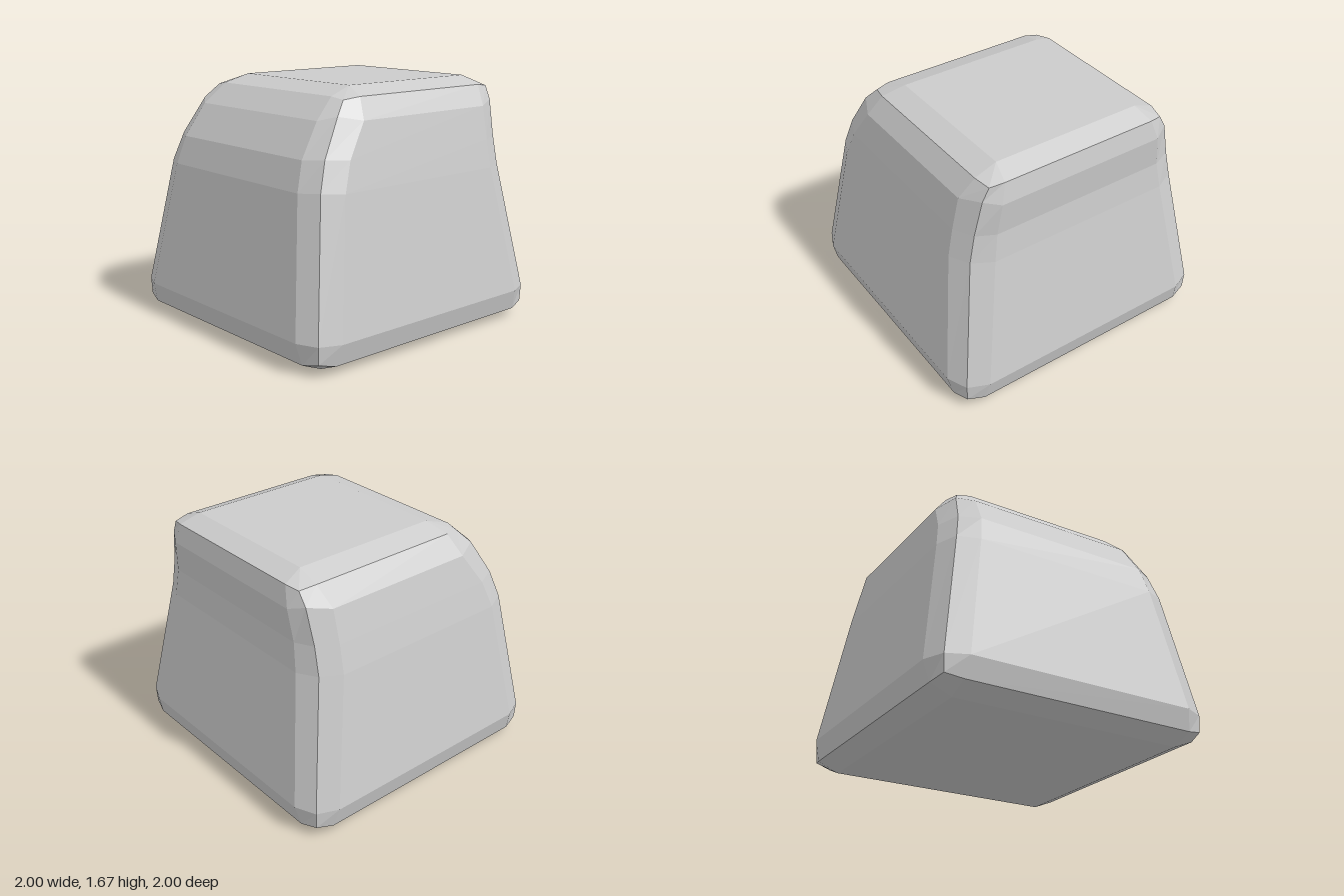
import * as THREE from 'three';

// Cross-sections from bottom to top. y: flat sides, yc: corner ridge,
// x: [side, corner ridge, end of front/back face],
// f / b: z of [front or back face, corner ridge, end of side face], dx: sideways drift
const SECTIONS = [
  { y: 0, yc: 0, x: [0.82, 0.82, 0.82], f: [0.82, 0.82, 0.82], b: [-0.82, -0.82, -0.82], dx: 0 },
  { y: 0.06, yc: 0.085, x: [0.965, 0.935, 0.82], f: [0.965, 0.935, 0.82], b: [-0.965, -0.935, -0.82], dx: 0 },
  { y: 0.2, yc: 0.2, x: [1, 0.94, 0.8], f: [1, 0.94, 0.8], b: [-1, -0.94, -0.8], dx: 0 },
  { y: 1.07, yc: 1.08, x: [0.865, 0.8, 0.66], f: [0.862, 0.8, 0.66], b: [-0.86, -0.795, -0.655], dx: 0 },
  { y: 1.26, yc: 1.27, x: [0.825, 0.76, 0.63], f: [0.805, 0.735, 0.59], b: [-0.843, -0.79, -0.65], dx: 0.003 },
  { y: 1.48, yc: 1.51, x: [0.775, 0.705, 0.6], f: [0.665, 0.59, 0.44], b: [-0.862, -0.805, -0.655], dx: 0.007 },
  { y: 1.615, yc: 1.6, x: [0.68, 0.655, 0.56], f: [0.52, 0.505, 0.39], b: [-0.835, -0.81, -0.7], dx: 0.012 },
  { y: 1.67, yc: 1.67, x: [0.53, 0.53, 0.53], f: [0.345, 0.345, 0.345], b: [-0.7, -0.7, -0.7], dx: 0.012 },
];

// Twelve points around one section, counter-clockwise from above
function ring({ y, yc, x, f, b, dx }) {
  const half = [
    [x[2], y, f[0]], [x[1], yc, f[1]], [x[0], y, f[2]],
    [x[0], y, b[2]], [x[1], yc, b[1]], [x[2], y, b[0]],
  ];
  const mirrored = half.map(([px, py, pz]) => [-px, py, pz]).reverse();
  return [...half, ...mirrored].map(([px, py, pz]) => new THREE.Vector3(px + dx, py, pz));
}

function loft(rings) {
  const positions = [];
  const triangle = (a, b, c) => {
    if (new THREE.Triangle(a, b, c).getArea() < 1e-7) return;
    for (const p of [a, b, c]) positions.push(p.x, p.y, p.z);
  };
  for (let i = 0; i < rings.length - 1; i++) {
    const low = rings[i], high = rings[i + 1], n = low.length;
    for (let j = 0; j < n; j++) {
      const k = (j + 1) % n;
      triangle(low[j], low[k], high[k]);
      triangle(low[j], high[k], high[j]);
    }
  }
  // Flat caps
  const bottom = rings[0], top = rings[rings.length - 1];
  for (let j = 1; j < top.length - 1; j++) {
    triangle(bottom[0], bottom[j + 1], bottom[j]);
    triangle(top[0], top[j], top[j + 1]);
  }
  const geometry = new THREE.BufferGeometry();
  geometry.setAttribute('position', new THREE.Float32BufferAttribute(positions, 3));
  geometry.computeVertexNormals();
  return geometry;
}

export function createModel() {
  const group = new THREE.Group();
  group.name = 'taperedBlock';

  // Bevelled block with a curved front and a slightly hollowed back
  const material = new THREE.MeshStandardMaterial({ color: 0xcccccc, flatShading: true });
  const body = new THREE.Mesh(loft(SECTIONS.map(ring)), material);
  body.name = 'body';
  group.add(body);

  return group;
}
